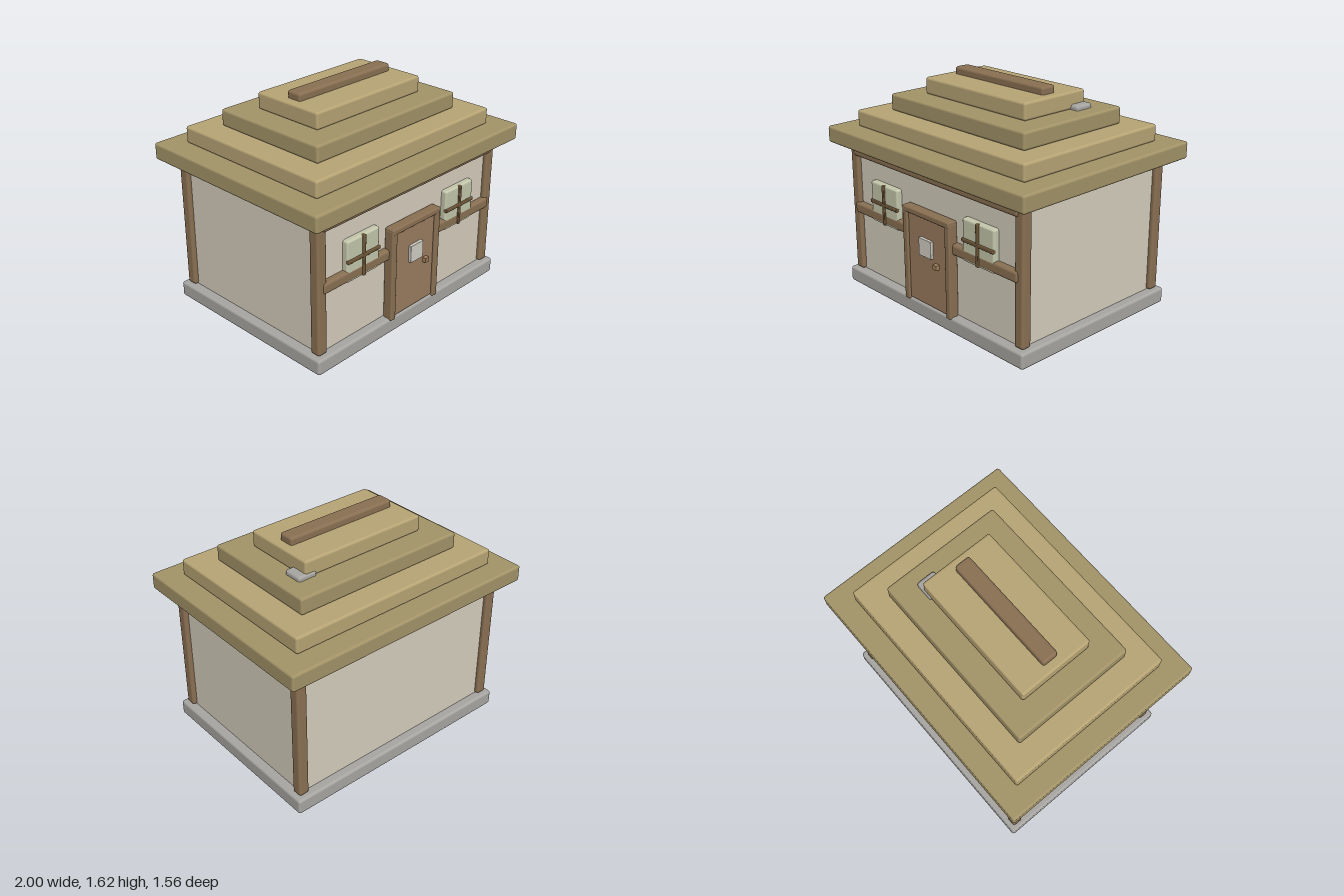
import * as THREE from 'three';
import { RoundedBoxGeometry } from 'three/addons/geometries/RoundedBoxGeometry.js';

const COLORS = {
  stone: 0xa8a6a2, wall: 0xd6cebd, wood: 0x8a7053, door: 0x9b7c60, glass: 0xc5c8ac,
  muntin: 0x6e5738, paleGlass: 0xd2cfc5, handle: 0xa5825f, thatchDark: 0xa39468, thatchLight: 0xb8a575,
};

export function createModel() {
  const house = new THREE.Group();
  house.name = 'cottage';
  const materials = {};
  for (const key in COLORS) materials[key] = new THREE.MeshStandardMaterial({ color: COLORS[key] });

  // Soft-edged box given by its extents on each axis
  function block(name, material, [x0, x1], [y0, y1], [z0, z1], radius = 0.02, parent = house) {
    const geometry = new RoundedBoxGeometry(x1 - x0, y1 - y0, z1 - z0, 2, radius);
    const mesh = new THREE.Mesh(geometry, materials[material]);
    mesh.position.set((x0 + x1) / 2, (y0 + y1) / 2, (z0 + z1) / 2);
    mesh.name = name;
    parent.add(mesh);
    return mesh;
  }

  // Foundation and walls
  block('foundation', 'stone', [-0.92, 0.92], [0, 0.115], [-0.705, 0.705]);
  block('walls', 'wall', [-0.855, 0.855], [0.1, 1.09], [-0.64, 0.64]);

  // Corner posts
  for (const sx of [-1, 1]) {
    for (const sz of [-1, 1]) {
      const x = sx * 0.848, z = sz * 0.632;
      block('cornerPost', 'wood', [x - 0.04, x + 0.04], [0.115, 1.09], [z - 0.04, z + 0.04]);
    }
  }

  // Horizontal timbers on the front
  block('topBeam', 'wood', [-0.845, 0.845], [1.0, 1.08], [0.605, 0.685]);
  block('middleBeam', 'wood', [-0.845, 0.845], [0.565, 0.645], [0.605, 0.685]);

  // Windows with crossed glazing bars
  for (const side of [-1, 1]) {
    const frame = new THREE.Group();
    frame.name = side > 0 ? 'leftWindow' : 'rightWindow';
    const x = side * 0.49;
    block('pane', 'glass', [x - 0.15, x + 0.15], [0.56, 0.86], [0.62, 0.683], 0.015, frame);
    block('verticalBar', 'muntin', [x - 0.013, x + 0.013], [0.563, 0.86], [0.66, 0.694], 0.006, frame);
    block('horizontalBar', 'muntin', [x - 0.15, x + 0.15], [0.7, 0.726], [0.66, 0.694], 0.006, frame);
    house.add(frame);
  }

  // Door, its frame and fittings
  const doorway = new THREE.Group();
  doorway.name = 'doorway';
  house.add(doorway);
  block('door', 'door', [-0.2, 0.2], [0.115, 0.765], [0.62, 0.7], 0.012, doorway);
  for (const x of [-0.22, 0.22]) {
    block('doorJamb', 'wood', [x - 0.025, x + 0.025], [0.1, 0.785], [0.64, 0.715], 0.012, doorway);
  }
  block('doorLintel', 'wood', [-0.243, 0.243], [0.755, 0.8], [0.64, 0.718], 0.012, doorway);
  block('doorWindow', 'paleGlass', [-0.065, 0.062], [0.485, 0.613], [0.69, 0.722], 0.004, doorway);
  block('doorHandle', 'handle', [0.085, 0.125], [0.425, 0.462], [0.69, 0.73], 0.004, doorway);

  // Stepped roof, alternating two shades
  const tiers = [[1, 0.78], [0.845, 0.625], [0.67, 0.455], [0.497, 0.28]];
  tiers.forEach(([hx, hz], i) => {
    const y = 1.085 + i * 0.12;
    block('roofTier', i % 2 ? 'thatchLight' : 'thatchDark', [-hx, hx], [y, y + 0.122], [-hz, hz], 0.018);
  });

  // Ridge cap and the small stone slab beside it
  block('ridgeCap', 'wood', [-0.435, 0.435], [1.53, 1.62], [-0.06, 0.06]);
  block('roofSlab', 'stone', [0.41, 0.557], [1.4, 1.48], [-0.29, -0.145]);

  return house;
}
